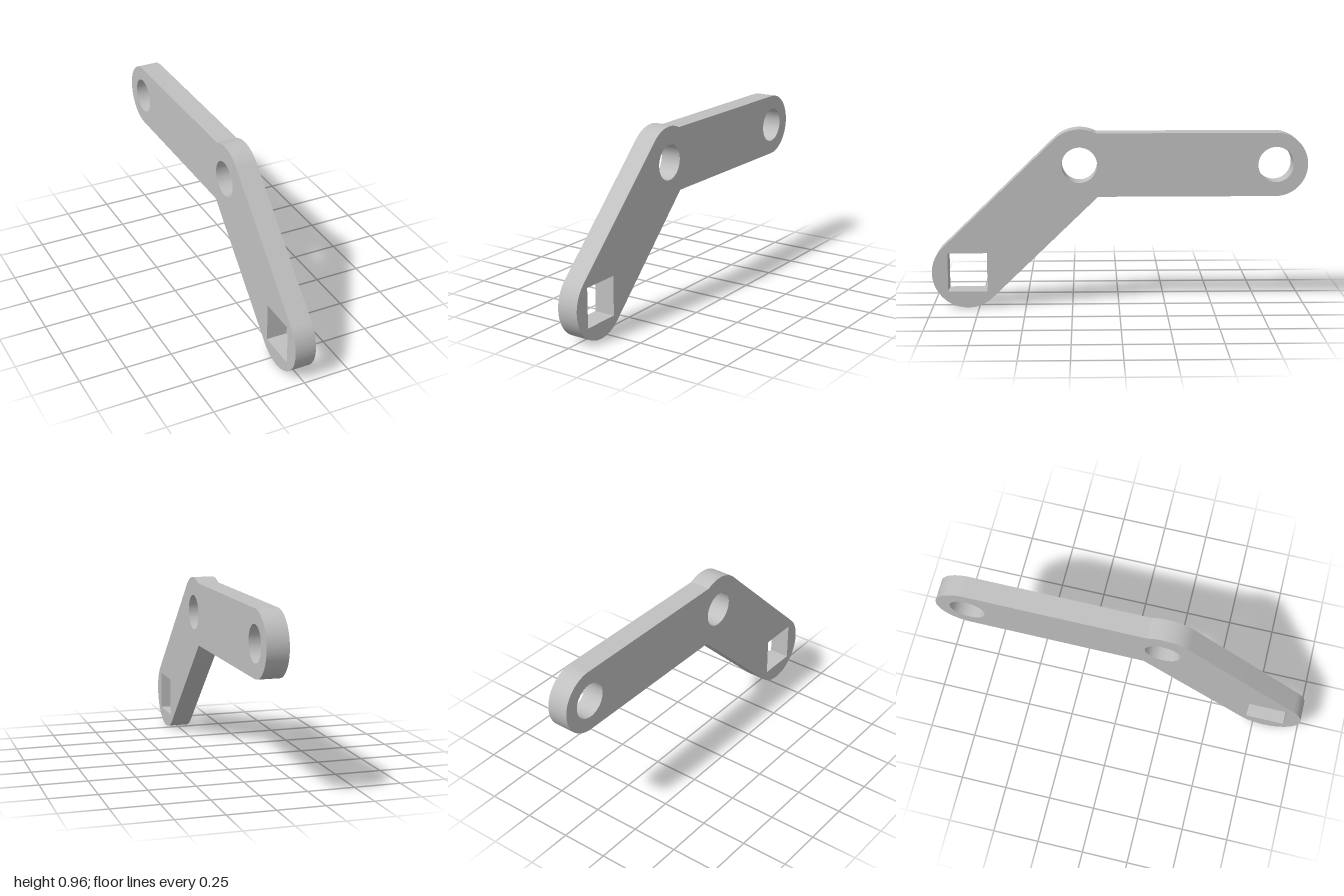
import * as THREE from 'three';
import { toCreasedNormals } from 'three/addons/utils/BufferGeometryUtils.js';

// Profile is drawn in the side plane: u = -z, v = y
const THICKNESS = 0.114;
const LOW = { u: -0.81, v: 0.19 };
const ELBOW = { u: -0.21, v: 0.77 };
const END = { u: 0.83, v: 0.77 };
const R_ARM = 0.19;
const R_END = 0.169;
const R_HOLE = 0.094;
const SQUARE = 0.105;

function leverShape() {
  const slope = Math.atan2(ELBOW.v - LOW.v, ELBOW.u - LOW.u);
  const normal = slope + Math.PI / 2;

  // Inner corner where the lower edges of the two arms meet
  const startU = LOW.u - R_ARM * Math.cos(normal);
  const startV = LOW.v - R_ARM * Math.sin(normal);
  const bottom = END.v - R_END;
  const cornerU = startU + (bottom - startV) / Math.tan(slope);

  const shape = new THREE.Shape();
  shape.moveTo(startU, startV);
  shape.lineTo(cornerU, bottom);
  shape.lineTo(END.u, bottom);
  shape.absarc(END.u, END.v, R_END, -Math.PI / 2, Math.PI / 2, false);
  shape.absarc(ELBOW.u, ELBOW.v, R_ARM, Math.asin(R_END / R_ARM), normal, false);
  shape.absarc(LOW.u, LOW.v, R_ARM, normal, normal + Math.PI, false);

  // Round pivot holes
  for (const c of [ELBOW, END]) {
    const hole = new THREE.Path();
    hole.absarc(c.u, c.v, R_HOLE, 0, Math.PI * 2, true);
    shape.holes.push(hole);
  }

  // Square drive hole
  const s = SQUARE;
  const cv = LOW.v + 0.003;
  shape.holes.push(new THREE.Path([
    new THREE.Vector2(LOW.u - s, cv - s),
    new THREE.Vector2(LOW.u - s, cv + s),
    new THREE.Vector2(LOW.u + s, cv + s),
    new THREE.Vector2(LOW.u + s, cv - s),
  ]));
  return shape;
}

export function createModel() {
  const group = new THREE.Group();
  group.name = 'bentLever';

  const metal = new THREE.MeshStandardMaterial({ color: 0xc0c0c0 });
  metal.name = 'grey metal';

  // Bent plate, extruded across x
  let geometry = new THREE.ExtrudeGeometry(leverShape(), {
    depth: THICKNESS, bevelEnabled: false, curveSegments: 40,
  });
  geometry.translate(0, 0, -THICKNESS / 2);
  geometry.rotateY(Math.PI / 2);
  geometry = toCreasedNormals(geometry, 0.4);

  const lever = new THREE.Mesh(geometry, metal);
  lever.name = 'leverPlate';
  group.add(lever);
  return group;
}
